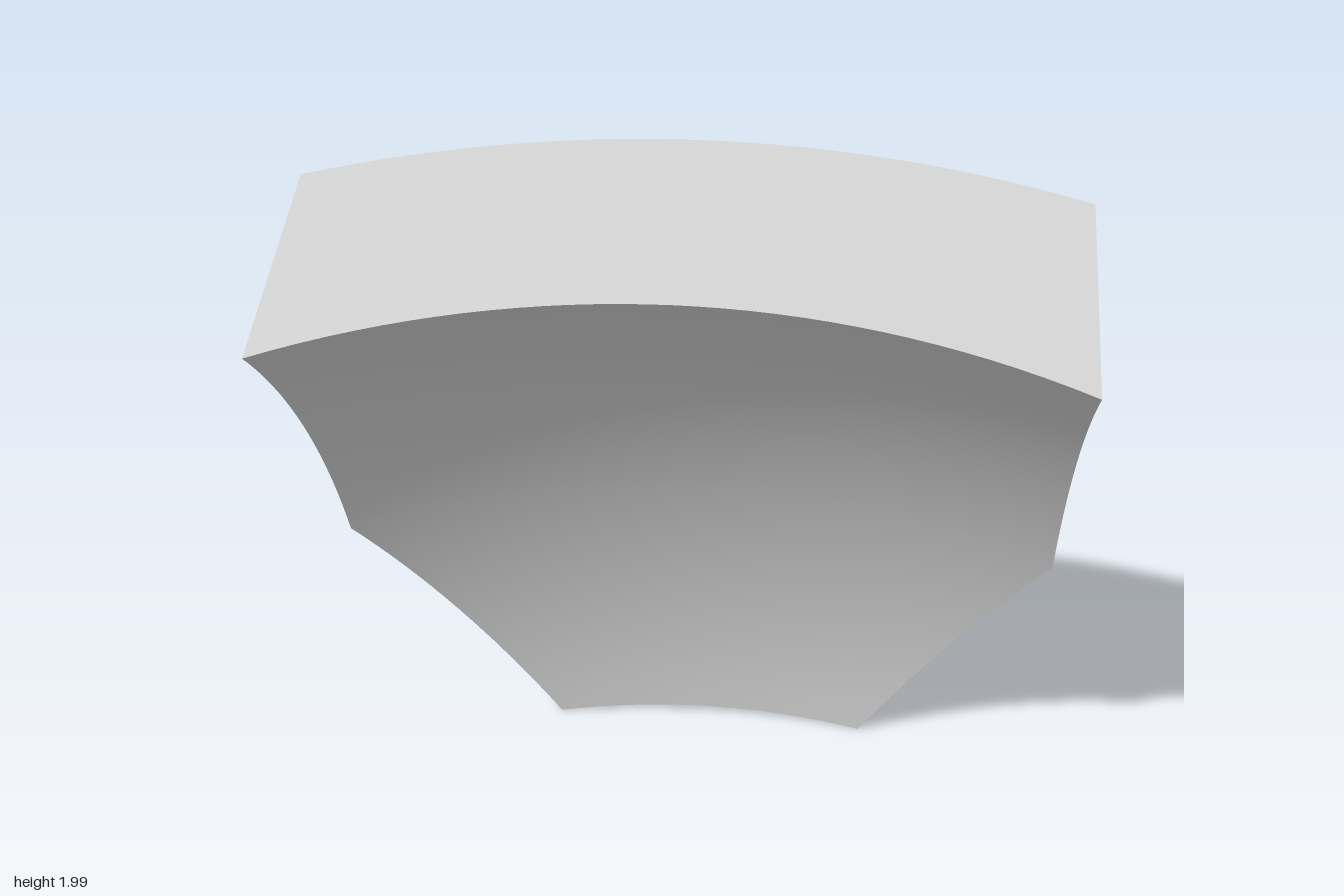
import * as THREE from 'three';

// Shell block cut from two spheres, built upright and then tilted.
// Each sphere: radius, depth of its centre in front, height of its centre.
const INNER = { r: 2.472, front: 2.015, mid: 0.81 };
const OUTER = { r: 2.997, front: 2.05, mid: 0.862 };
const BOTTOM = -0.1, TOP = 1.839, HALF = 0.972;
const COLS = 32, LOW_ROWS = 12, HIGH_ROWS = 20;

// Backward depth of a sphere at (x, y)
const depth = (s, x, y) => Math.sqrt(s.r ** 2 - (y - s.mid) ** 2 - x * x) - s.front;

// Half width at height y, limited by the slanted lower corner cut
function halfWidth(s, y) {
  let x = HALF;
  for (let i = 0; i < 20; i++) {
    x = Math.min(HALF, 0.46 + 0.41 * (depth(s, x, y) - 0.224) + (y - BOTTOM) / 1.84);
  }
  return x;
}

// Height where the corner cut meets the straight side
function cornerHeight(s) {
  let y = 0.5;
  for (let i = 0; i < 20; i++) {
    y = BOTTOM + 1.84 * (HALF - 0.46 - 0.41 * (depth(s, HALF, y) - 0.224));
  }
  return y;
}

// Rows of points over one spherical face, bottom to top
function faceRows(s) {
  const corner = cornerHeight(s);
  const rows = [];
  for (let i = 0; i <= LOW_ROWS + HIGH_ROWS; i++) {
    const y = i <= LOW_ROWS
      ? THREE.MathUtils.lerp(BOTTOM, corner, i / LOW_ROWS)
      : THREE.MathUtils.lerp(corner, TOP, (i - LOW_ROWS) / HIGH_ROWS);
    const w = i < LOW_ROWS ? halfWidth(s, y) : HALF;
    const row = [];
    for (let j = 0; j <= COLS; j++) {
      const x = w * (2 * j / COLS - 1);
      row.push(new THREE.Vector3(x, y, -depth(s, x, y)));
    }
    rows.push(row);
  }
  return rows;
}

// Surface through rows of points
function loft(rows, flip) {
  const n = rows[0].length;
  const index = [];
  for (let i = 0; i < rows.length - 1; i++) {
    for (let j = 0; j < n - 1; j++) {
      const a = i * n + j, b = a + 1, c = a + n, d = c + 1;
      if (flip) index.push(a, d, b, a, c, d);
      else index.push(a, b, d, a, d, c);
    }
  }
  const geometry = new THREE.BufferGeometry().setFromPoints(rows.flat());
  geometry.setIndex(index);
  geometry.computeVertexNormals();
  return geometry;
}

export function createModel() {
  const model = new THREE.Group();
  model.name = 'curvedShellBlock';
  const block = new THREE.Group();
  block.name = 'tiltedBlock';
  block.rotation.x = Math.asin(0.42);
  model.add(block);

  const grey = new THREE.MeshStandardMaterial({ color: 0xcccccc });
  grey.name = 'plain grey';

  const add = (name, rows, flip) => {
    const mesh = new THREE.Mesh(loft(rows, flip), grey);
    mesh.name = name;
    block.add(mesh);
  };

  const inner = faceRows(INNER), outer = faceRows(OUTER);
  const last = inner.length - 1;

  // Curved faces and the two flat ends
  add('innerFace', inner, false);
  add('outerFace', outer, true);
  add('topEnd', [inner[last], outer[last]], false);
  add('bottomEnd', [inner[0], outer[0]], true);

  // Flat sides and slanted lower corners
  for (const [side, col, flip] of [['left', COLS, false], ['right', 0, true]]) {
    const wall = inner.map((row, i) => [row[col], outer[i][col]]);
    add(side + 'Corner', wall.slice(0, LOW_ROWS + 1), flip);
    add(side + 'Side', wall.slice(LOW_ROWS), flip);
  }
  return model;
}
